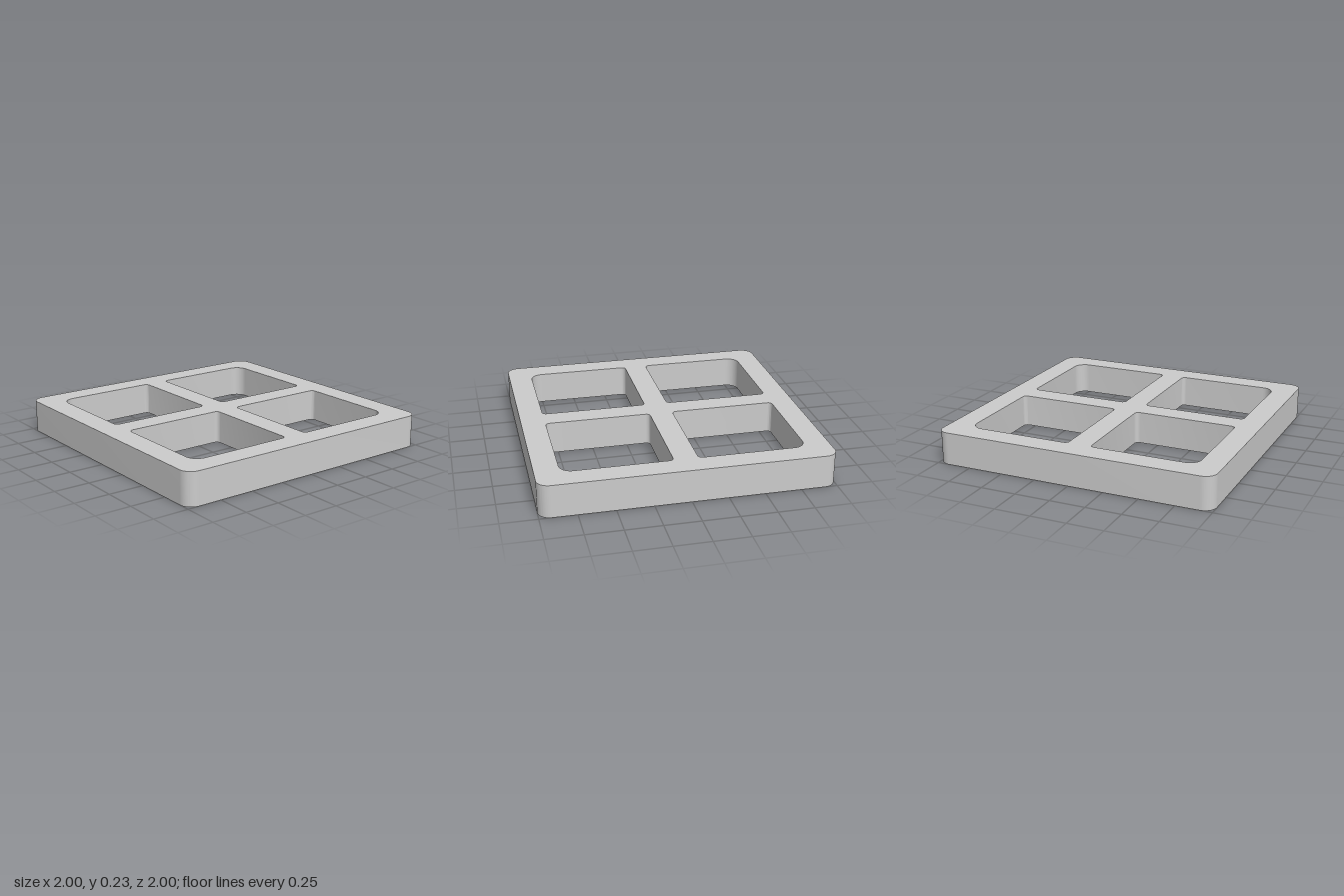
import * as THREE from 'three';
import { toCreasedNormals } from 'three/addons/utils/BufferGeometryUtils.js';

const HEIGHT = 0.23;
const OUTER = 1; // half width of the frame
const HOLE_MIN = 0.083; // half width of the cross bars
const HOLE_MAX = 0.832; // inner face of the rim
const BIG_R = 0.085, SMALL_R = 0.03;

// Traces a rectangle whose corner radii come from radiusAt(x, y)
function roundedRect(path, x0, y0, x1, y1, radiusAt) {
  const corners = [[x1, y1], [x0, y1], [x0, y0], [x1, y0]];
  corners.forEach(([x, y], i) => {
    const r = radiusAt(x, y);
    const cx = x === x1 ? x - r : x + r;
    const cy = y === y1 ? y - r : y + r;
    path.absarc(cx, cy, r, (i * Math.PI) / 2, ((i + 1) * Math.PI) / 2, false);
  });
  path.closePath();
  return path;
}

export function createModel() {
  const group = new THREE.Group();
  group.name = 'windowFrame';

  // Outer outline with four rounded corners
  const shape = roundedRect(new THREE.Shape(), -OUTER, -OUTER, OUTER, OUTER, () => BIG_R);

  // Four openings: the corner nearest the frame's corner is rounder
  const isOuterCorner = (x, y) => Math.abs(x) > 0.5 && Math.abs(y) > 0.5;
  for (const sx of [-1, 1]) {
    for (const sy of [-1, 1]) {
      const [x0, x1] = [sx * HOLE_MIN, sx * HOLE_MAX].sort((a, b) => a - b);
      const [y0, y1] = [sy * HOLE_MIN, sy * HOLE_MAX].sort((a, b) => a - b);
      shape.holes.push(roundedRect(new THREE.Path(), x0, y0, x1, y1,
        (x, y) => (isOuterCorner(x, y) ? BIG_R : SMALL_R)));
    }
  }

  // Lay the extrusion flat on the ground
  const extruded = new THREE.ExtrudeGeometry(shape, {
    depth: HEIGHT, bevelEnabled: false, curveSegments: 12,
  });
  extruded.rotateX(-Math.PI / 2);

  const frame = new THREE.Mesh(
    toCreasedNormals(extruded, Math.PI / 6),
    new THREE.MeshStandardMaterial({ color: 0xcccccc }),
  );
  frame.name = 'fourPaneFrame';
  group.add(frame);
  return group;
}
